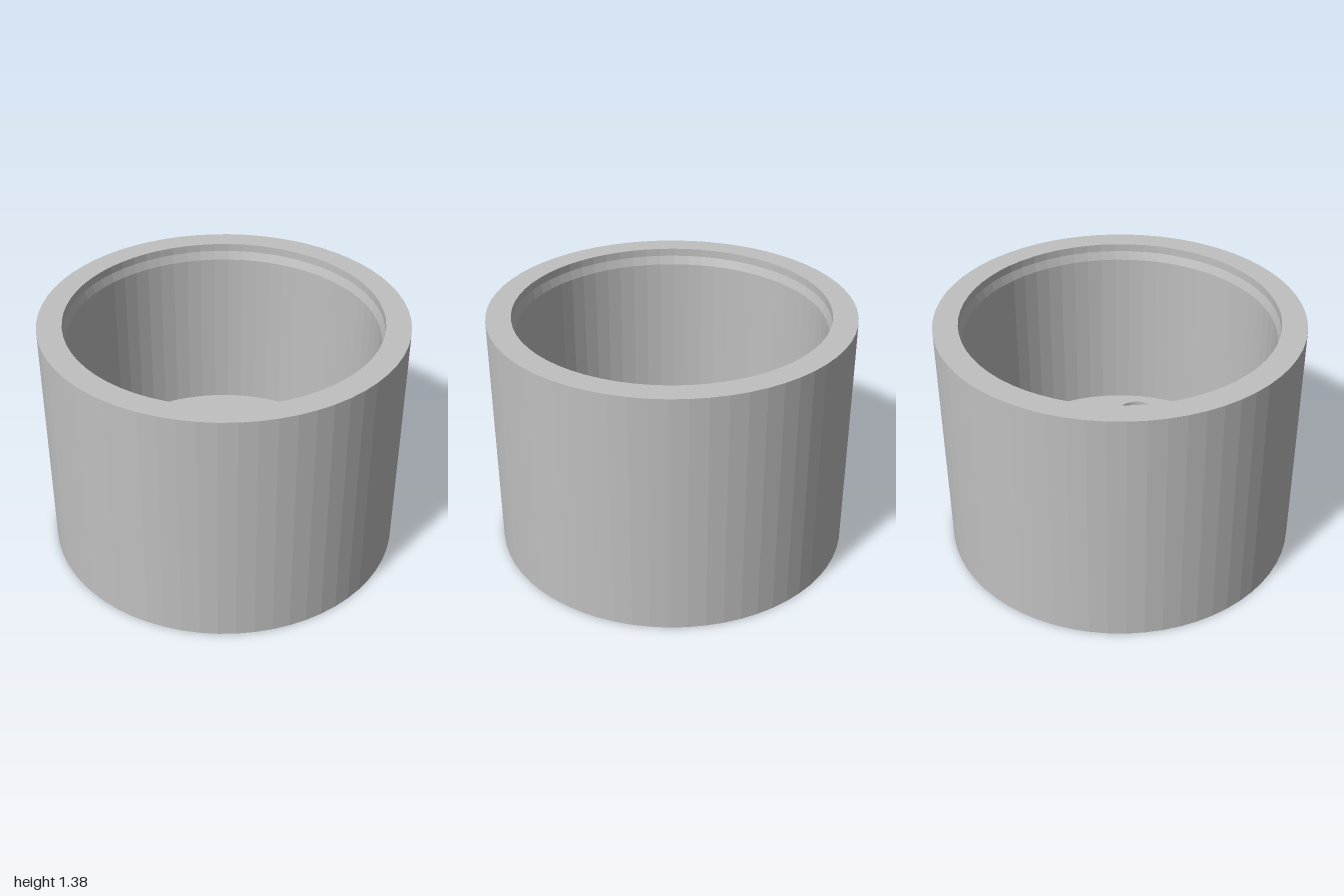
import * as THREE from 'three';

const HEIGHT = 1.375, FLOOR = 0.3, OUTER = 1, BORE = 0.85, RIM = 0.865;
const SIDES = 64, HOLE_SIDES = 32;

// centre bore and four bolt holes: [x, z, radius]
const HOLES = [[0, 0, 0.2]];
for (const x of [-0.47, 0.47]) for (const z of [-0.47, 0.47]) HOLES.push([x, z, 0.12]);

const circle = (x, y, r, n) => Array.from({ length: n }, (_, i) => {
  const a = (i / n) * Math.PI * 2;
  return new THREE.Vector2(x + r * Math.cos(a), y + r * Math.sin(a));
});

// faceted surface of revolution
function turned(profile, sides) {
  const points = profile.map(([r, y]) => new THREE.Vector2(r, y));
  const geometry = new THREE.LatheGeometry(points, sides).toNonIndexed();
  geometry.computeVertexNormals();
  return geometry;
}

// flat disc pierced by all holes, facing up or down
function piercedDisc(radius, y, facingUp) {
  const shape = new THREE.Shape(circle(0, 0, radius, SIDES));
  for (const [x, z, r] of HOLES) shape.holes.push(new THREE.Path(circle(x, z, r, HOLE_SIDES)));
  return new THREE.ShapeGeometry(shape)
    .rotateX(facingUp ? -Math.PI / 2 : Math.PI / 2)
    .translate(0, y, 0);
}

export function createModel() {
  const group = new THREE.Group();
  group.name = 'flangedCup';
  const grey = new THREE.MeshStandardMaterial({ color: 0xc0c0c0 });
  grey.name = 'grey';

  const add = (name, geometry) => {
    const mesh = new THREE.Mesh(geometry, grey);
    mesh.name = name;
    group.add(mesh);
    return mesh;
  };

  // cylindrical wall, with a shallow tapered counterbore inside the rim
  add('wall', turned([
    [OUTER, 0], [OUTER, HEIGHT], [RIM, HEIGHT],
    [RIM, HEIGHT - 0.045], [BORE, HEIGHT - 0.095], [BORE, FLOOR],
  ], SIDES));

  // thick floor: underside, inside face and hole linings
  add('underside', piercedDisc(OUTER, 0, false));
  add('floor', piercedDisc(BORE, FLOOR, true));
  HOLES.forEach(([x, z, r], i) => {
    const lining = add(i ? 'boltHole' : 'centreBore', turned([[r, FLOOR], [r, 0]], HOLE_SIDES));
    lining.position.set(x, 0, z);
  });

  return group;
}
